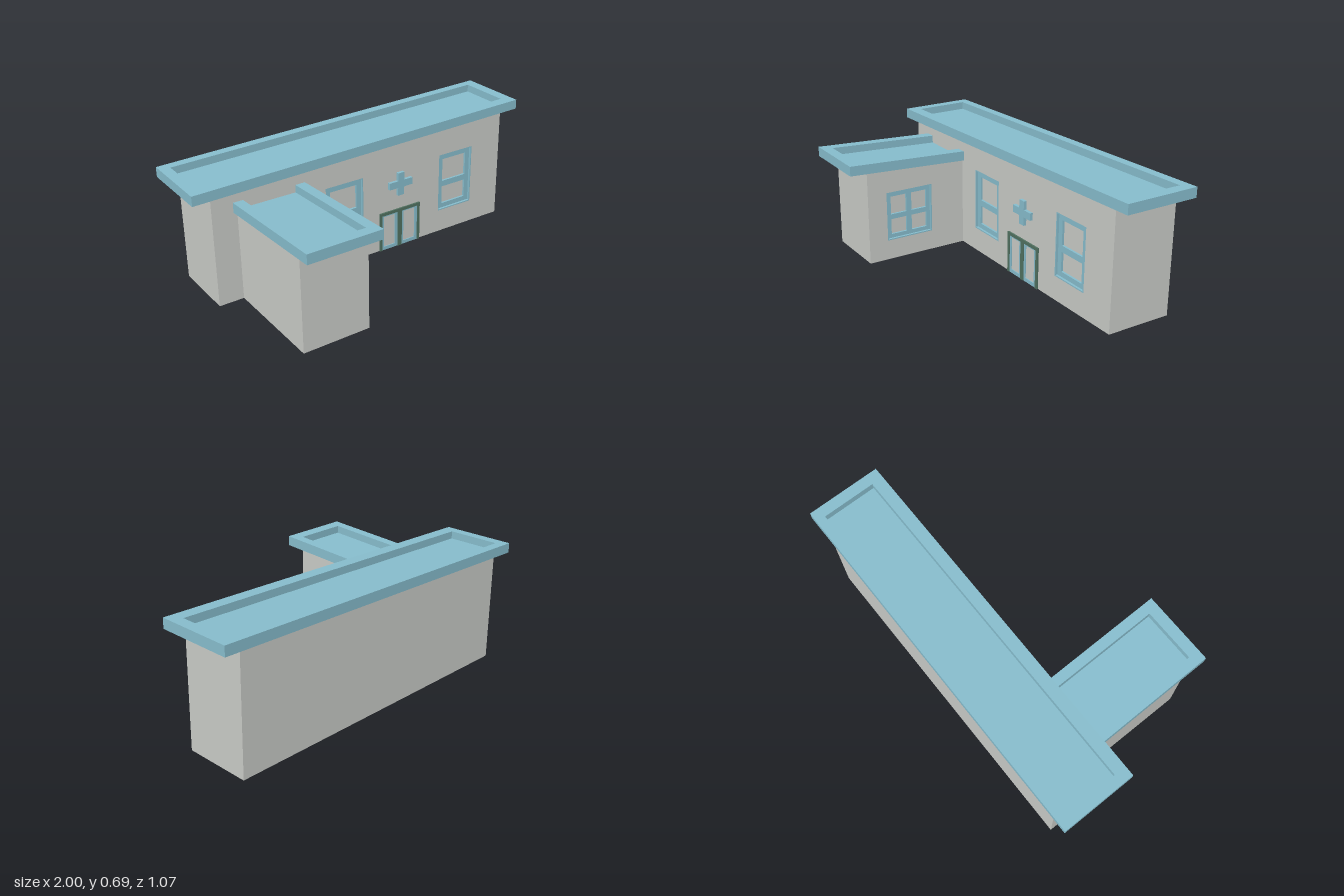
import * as THREE from 'three';

const wallMat = new THREE.MeshStandardMaterial({ color: 0xc8cac6, name: 'wall grey' });
const trimMat = new THREE.MeshStandardMaterial({ color: 0x86bccc, name: 'trim blue' });
const doorMat = new THREE.MeshStandardMaterial({ color: 0x50705f, name: 'door green' });

const RECESS = 0.025; // how deep the window openings are cut into the wall

// Closed outline of a rectangle [x0, y0, x1, y1]
const corners = ([x0, y0, x1, y1]) =>
  [[x0, y0], [x1, y0], [x1, y1], [x0, y1]].map(p => new THREE.Vector2(...p));

// Extrude an outline with rectangular holes from z to z + depth
function slab(outline, holes, z, depth) {
  const shape = new THREE.Shape(outline);
  for (const h of holes) shape.holes.push(new THREE.Path(corners(h).reverse()));
  return new THREE.ExtrudeGeometry(shape, { depth, bevelEnabled: false }).translate(0, 0, z);
}

function add(parent, name, geometry, material) {
  const mesh = new THREE.Mesh(geometry, material);
  mesh.name = name;
  parent.add(mesh);
}

// Recessed window: a lining around the opening and a frame set back in it
function addWindow(parent, { opening, panes }) {
  const group = new THREE.Group();
  group.name = 'window';
  const [x0, y0, x1, y1] = opening, t = 0.006;
  add(group, 'windowLining',
    slab(corners(opening), [[x0 + t, y0 + t, x1 - t, y1 - t]], -RECESS, RECESS), trimMat);
  add(group, 'windowFrame', slab(corners(opening), panes, -RECESS, 0.012), trimMat);
  parent.add(group);
}

// Block whose facade lies on local z = 0, with a sloping top and a tray roof
function block(name, { x0, x1, depth, base, slope, windows, roof, tray }) {
  const group = new THREE.Group();
  group.name = name;
  const top = x => base + slope * x;
  const outline = () => [[x0, 0], [x1, 0], [x1, top(x1)], [x0, top(x0)]]
    .map(p => new THREE.Vector2(...p));
  add(group, 'walls', slab(outline(), [], -depth, depth - RECESS), wallMat);
  add(group, 'facade', slab(outline(), windows.map(w => w.opening), -RECESS, RECESS), wallMat);
  windows.forEach(w => addWindow(group, w));

  // Roof floor and raised rim, laid flat and sheared to the slope
  const lay = geometry => {
    geometry.rotateX(-Math.PI / 2);
    const p = geometry.attributes.position;
    for (let i = 0; i < p.count; i++) p.setY(i, p.getY(i) + top(p.getX(i)));
    geometry.computeVertexNormals();
    return geometry;
  };
  add(group, 'roofFloor', lay(slab(corners(roof), [], 0, 0.012)), trimMat);
  add(group, 'roofRim', lay(slab(corners(roof), [tray], 0.012, 0.041)), trimMat);
  return group;
}

export function createModel() {
  const model = new THREE.Group();
  model.name = 'clinic';

  // Long main building
  const main = block('mainBuilding', {
    x0: -0.9, x1: 0.9, depth: 0.36, base: 0.612, slope: 0.0225,
    windows: [-0.15, 0.585].map(x => ({
      opening: [x - 0.115, 0.13, x + 0.115, 0.47],
      panes: [[x - 0.081, 0.163, x + 0.081, 0.268], [x - 0.081, 0.302, x + 0.081, 0.435]],
    })),
    roof: [-1, -0.02, 1, 0.385],
    tray: [-0.945, 0.045, 0.94, 0.335],
  });
  main.position.z = -0.15;
  model.add(main);

  // Side wing, turned so its window wall faces +x; its far end runs into the main building
  const wing = block('sideWing', {
    x0: -0.435, x1: 0.16, depth: 0.365, base: 0.496, slope: -0.051,
    windows: [{
      opening: [-0.325, 0.11, -0.05, 0.385],
      panes: [[-0.295, -0.2], [-0.17, -0.078]].flatMap(([a, b]) =>
        [[a, 0.138, b, 0.225], [a, 0.253, b, 0.355]]),
    }],
    roof: [-0.535, -0.015, 0.2, 0.385],
    tray: [-0.475, 0.04, 0.19, 0.33],
  });
  wing.rotation.y = Math.PI / 2;
  wing.position.x = -0.4;
  model.add(wing);

  // Raised cross above the entrance
  const cross = [];
  const a = 0.02, w = 0.075, h = 0.066;
  for (const [x, y] of [[-a, -h], [a, -h], [a, -a], [w, -a], [w, a], [a, a],
    [a, h], [-a, h], [-a, a], [-w, a], [-w, -a], [-a, -a]])
    cross.push(new THREE.Vector2(x + 0.2, y + 0.379));
  add(main, 'cross', slab(cross, [], 0, 0.017), trimMat);

  // Double door: green surround and two glazed leaves
  const leaves = [[0.083, 0, 0.185, 0.211], [0.212, 0, 0.318, 0.211]];
  const surround = [[0.067, 0], [0.083, 0], [0.083, 0.211], [0.185, 0.211], [0.185, 0],
    [0.212, 0], [0.212, 0.211], [0.318, 0.211], [0.318, 0], [0.334, 0], [0.334, 0.228],
    [0.067, 0.228]].map(p => new THREE.Vector2(...p));
  add(main, 'doorSurround', slab(surround, [], 0, 0.009), doorMat);
  for (const leaf of leaves) {
    const [x0, y0, x1, y1] = leaf;
    add(main, 'doorLeaf',
      slab(corners(leaf), [[x0 + 0.013, y0 + 0.02, x1 - 0.016, y1 - 0.008]], 0, 0.005), trimMat);
  }
  return model;
}
